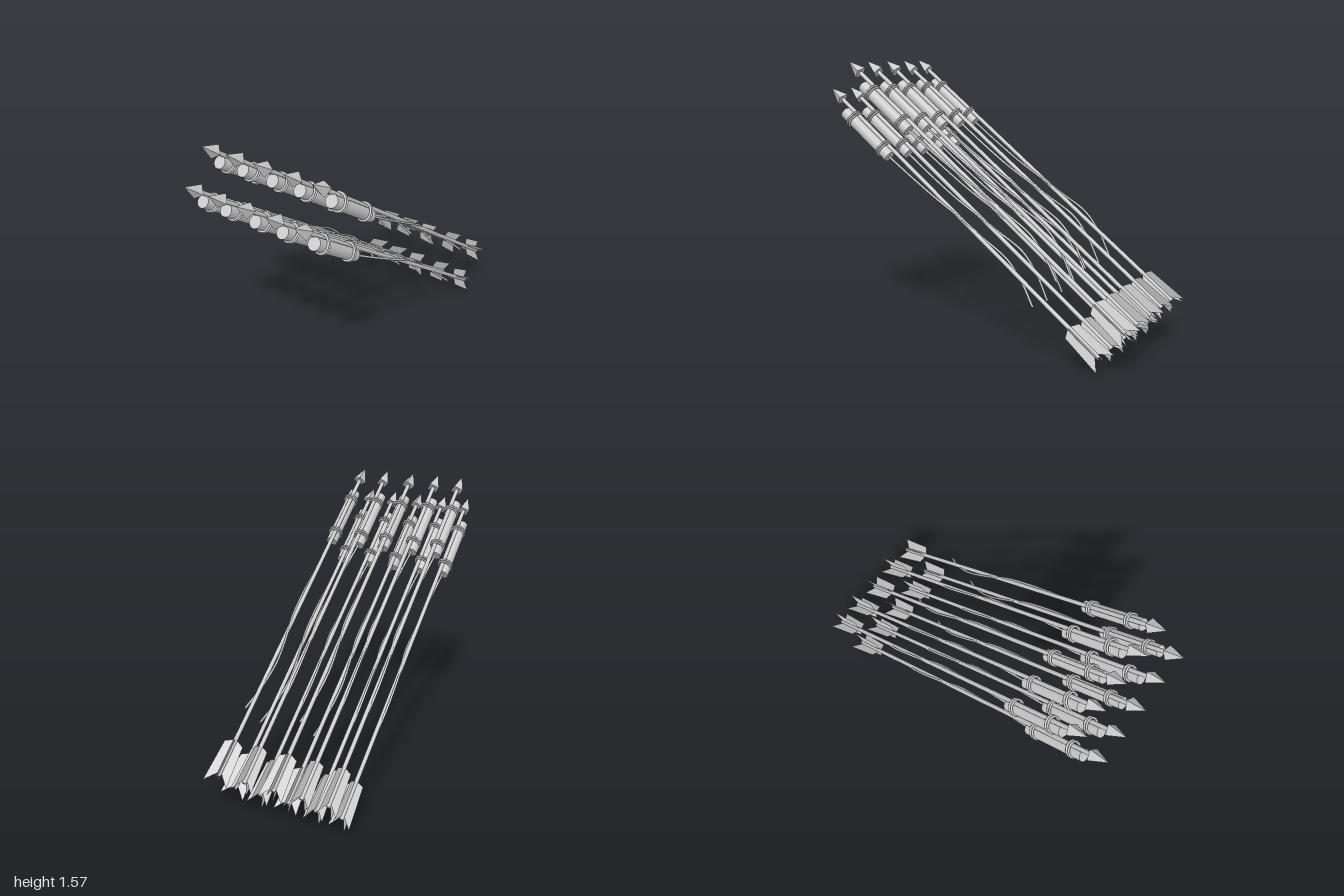
import * as THREE from 'three';

// Ten rocket arrows in two tiers of five, all pitched upward to the front.
// Arrow space: tip at the origin, +y toward the tip, +z the underside.
const PITCH = 0.926;
const grey = new THREE.MeshStandardMaterial({ color: 0xcccccc });
const faceted = new THREE.MeshStandardMaterial({ color: 0xcccccc, flatShading: true });
const thin = new THREE.MeshStandardMaterial({ color: 0xcccccc, side: THREE.DoubleSide });

// Cylinder running between two distances behind the tip
function rod(rTop, rBottom, from, to, sides, z = 0) {
  const g = new THREE.CylinderGeometry(rTop, rBottom, to - from, sides);
  return g.translate(0, -(from + to) / 2, z);
}

function makeGeometries() {
  // Oval lashing around both the shaft and the tube
  const lashing = new THREE.TorusGeometry(0.039, 0.006, 6, 24);
  lashing.scale(1, 1.2, 1).rotateX(Math.PI / 2).translate(0, 0, 0.033);

  // Fuse winding from the tube down the shaft
  const path = new THREE.CatmullRomCurve3([
    [0, 0.56, 0.044], [0.012, 0.8, 0.03], [0.018, 1.0, 0.014], [0.012, 1.18, -0.006],
    [-0.008, 1.31, -0.01], [-0.024, 1.5, -0.02], [-0.004, 1.65, 0.008], [0.036, 1.79, 0.052],
  ].map(([x, s, z]) => new THREE.Vector3(x, -s, z)));

  // Swept feather with a flared rear corner
  const vane = new THREE.Shape([
    [0.008, -2.0], [0.053, -2.025], [0.067, -2.267], [0.008, -2.2],
  ].map(([r, y]) => new THREE.Vector2(r, y)));

  return {
    lashing,
    point: rod(0, 0.041, 0, 0.107, 4), // four-sided point
    shaft: rod(0.012, 0.012, 0.1, 2.22, 10),
    tube: rod(0.034, 0.034, 0.178, 0.58, 24, 0.042),
    fuse: new THREE.TubeGeometry(path, 48, 0.0065, 6),
    fuseEnd: new THREE.SphereGeometry(0.0065, 6, 4).translate(0.036, -1.79, 0.052),
    vane: new THREE.ShapeGeometry(vane),
  };
}

function makeArrow(geo) {
  const arrow = new THREE.Group();
  arrow.name = 'arrow';
  const add = (name, geometry, material = grey) => {
    const mesh = new THREE.Mesh(geometry, material);
    mesh.name = name;
    arrow.add(mesh);
    return mesh;
  };
  add('arrowhead', geo.point, faceted);
  add('shaft', geo.shaft);
  add('rocketTube', geo.tube);
  add('fuse', geo.fuse);
  add('fuseEnd', geo.fuseEnd);

  // Two double-wound lashings
  for (const s of [0.25, 0.515]) {
    for (const d of [-0.008, 0.008]) add('lashing', geo.lashing).position.y = -s + d;
  }
  // Four feathers set crosswise
  for (let i = 0; i < 4; i++) {
    add('feather', geo.vane, thin).rotation.y = (i * Math.PI) / 2;
  }
  return arrow;
}

export function createModel() {
  const model = new THREE.Group();
  model.name = 'rocketArrows';
  const geo = makeGeometries();

  // Sideways place and roll of each arrow in a tier
  const columns = [[-0.33, -0.18], [-0.176, -0.25], [-0.008, 0.16], [0.168, -0.09], [0.33, 0.4]];
  const tiers = [['lowerTier', 1.421, 1.0], ['upperTier', 1.578, 0.858]];

  for (const [name, y, z] of tiers) {
    const tier = new THREE.Group();
    tier.name = name;
    for (const [x, roll] of columns) {
      const arrow = makeArrow(geo);
      arrow.position.set(x, y, z);
      arrow.rotation.set(PITCH, roll, 0);
      tier.add(arrow);
    }
    model.add(tier);
  }
  return model;
}
